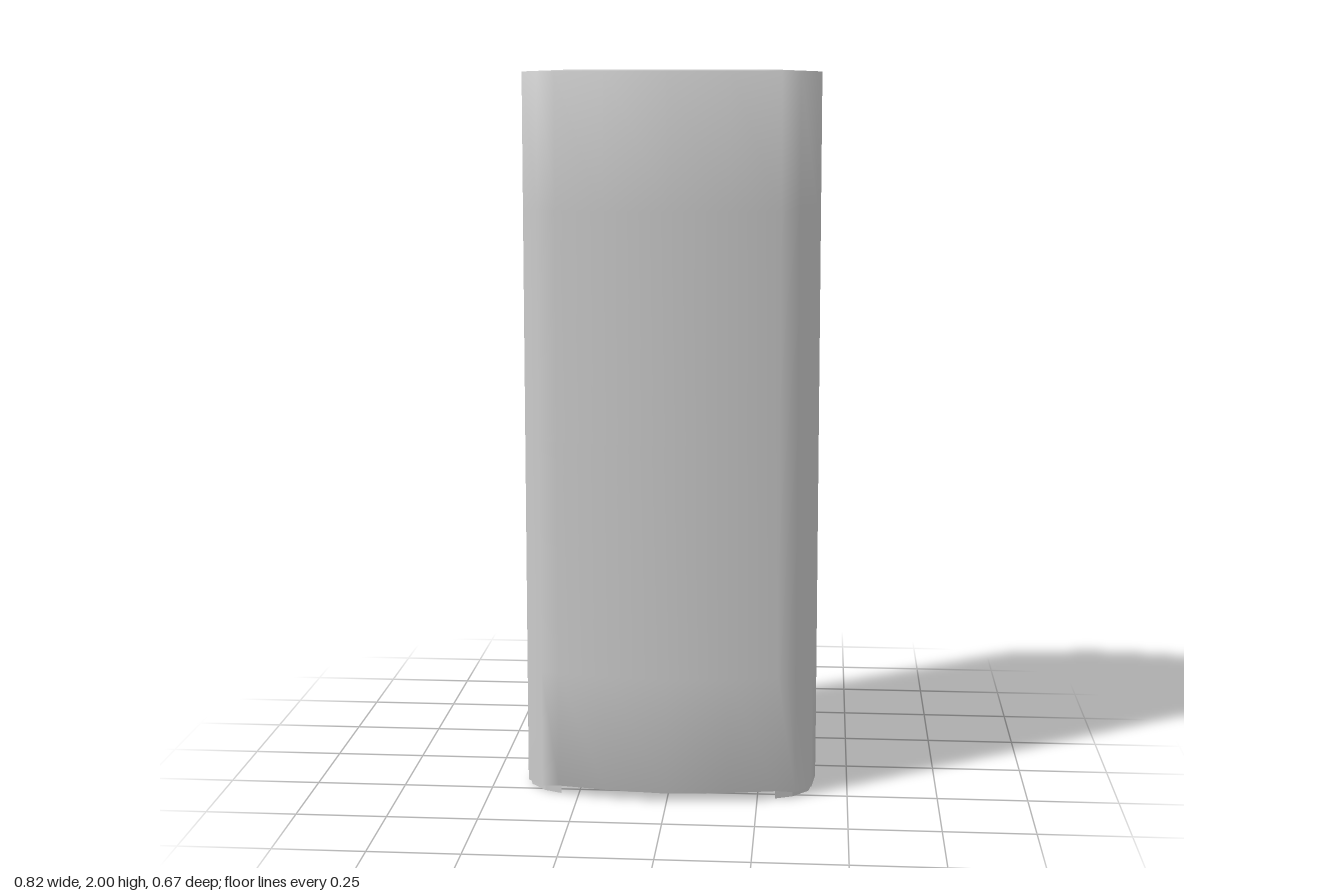
import * as THREE from 'three';

// One quarter of the plan outline, from the side (+x) round to the front (+z)
const quarter = [[0.41, 0], [0.41, 0.16], [0.4, 0.22], [0.355, 0.27], [0.305, 0.292], [0.17, 0.317], [0, 0.335]];

// Full plan outline, mirrored to all four quarters
const half = [...quarter, ...quarter.slice(0, -1).reverse().map(([x, z]) => [-x, z])];
const outline = [...half, ...half.slice(1, -1).reverse().map(([x, z]) => [x, -z])];
const isCorner = ([x, z]) => Math.abs(x) > 0.35 && Math.abs(z) > 0.2;

const material = new THREE.MeshStandardMaterial({ color: 0xcccccc });

// The front leans back a little and the sides draw in slightly towards the top
function place([x, z], y, scale) {
  const t = y / 2;
  return [x * scale * (1 - 0.01 * t), y, z * scale * (z > 0 ? 1 - 0.05 * t : 1)];
}

// Smooth shell lofted from the underside centre, up the walls, to the top centre
function bodyGeometry() {
  const rings = [[0.03, 0], [0.03, 0.75], [0.025, 1], [0.35, 1], [1.0, 1], [1.63, 1], [1.995, 1], [2, 0.72], [2, 0]];
  const n = outline.length;
  const positions = [];
  const index = [];
  rings.forEach(([y, scale], r) => {
    outline.forEach((p, i) => {
      const drop = r === 2 && isCorner(p) ? 0.01 : 0;
      positions.push(...place(p, y - drop, scale));
      if (r === rings.length - 1) return;
      const a = r * n + i, b = r * n + (i + 1) % n;
      if (rings[r + 1][1] > 0) index.push(a, a + n, b + n);
      if (scale > 0) index.push(a, b + n, b);
    });
  });
  const geometry = new THREE.BufferGeometry();
  geometry.setAttribute('position', new THREE.Float32BufferAttribute(positions, 3));
  geometry.setIndex(index);
  geometry.computeVertexNormals();

  // Corner posts keep upright shading right down to the feet
  const normal = geometry.attributes.normal;
  const v = new THREE.Vector3();
  outline.forEach((p, i) => {
    if (!isCorner(p)) return;
    v.fromBufferAttribute(normal, 2 * n + i).setY(0).normalize();
    normal.setXYZ(2 * n + i, v.x, v.y, v.z);
  });
  return geometry;
}

// Thin pad that follows the rounded corner
function footGeometry(sx, sz) {
  const points = quarter.slice(1, 5).map(([x, z]) => new THREE.Vector2(sx * x * 0.98, -sz * z * 0.97));
  const geometry = new THREE.ExtrudeGeometry(new THREE.Shape(points), { depth: 0.03, bevelEnabled: false });
  return geometry.rotateX(-Math.PI / 2);
}

export function createModel() {
  const group = new THREE.Group();
  group.name = 'roundedTower';

  const body = new THREE.Mesh(bodyGeometry(), material);
  body.name = 'body';
  group.add(body);

  // Four corner feet
  for (const sx of [1, -1]) {
    for (const sz of [1, -1]) {
      const foot = new THREE.Mesh(footGeometry(sx, sz), material);
      foot.name = (sz > 0 ? 'front' : 'back') + (sx > 0 ? 'Left' : 'Right') + 'Foot';
      group.add(foot);
    }
  }
  return group;
}
